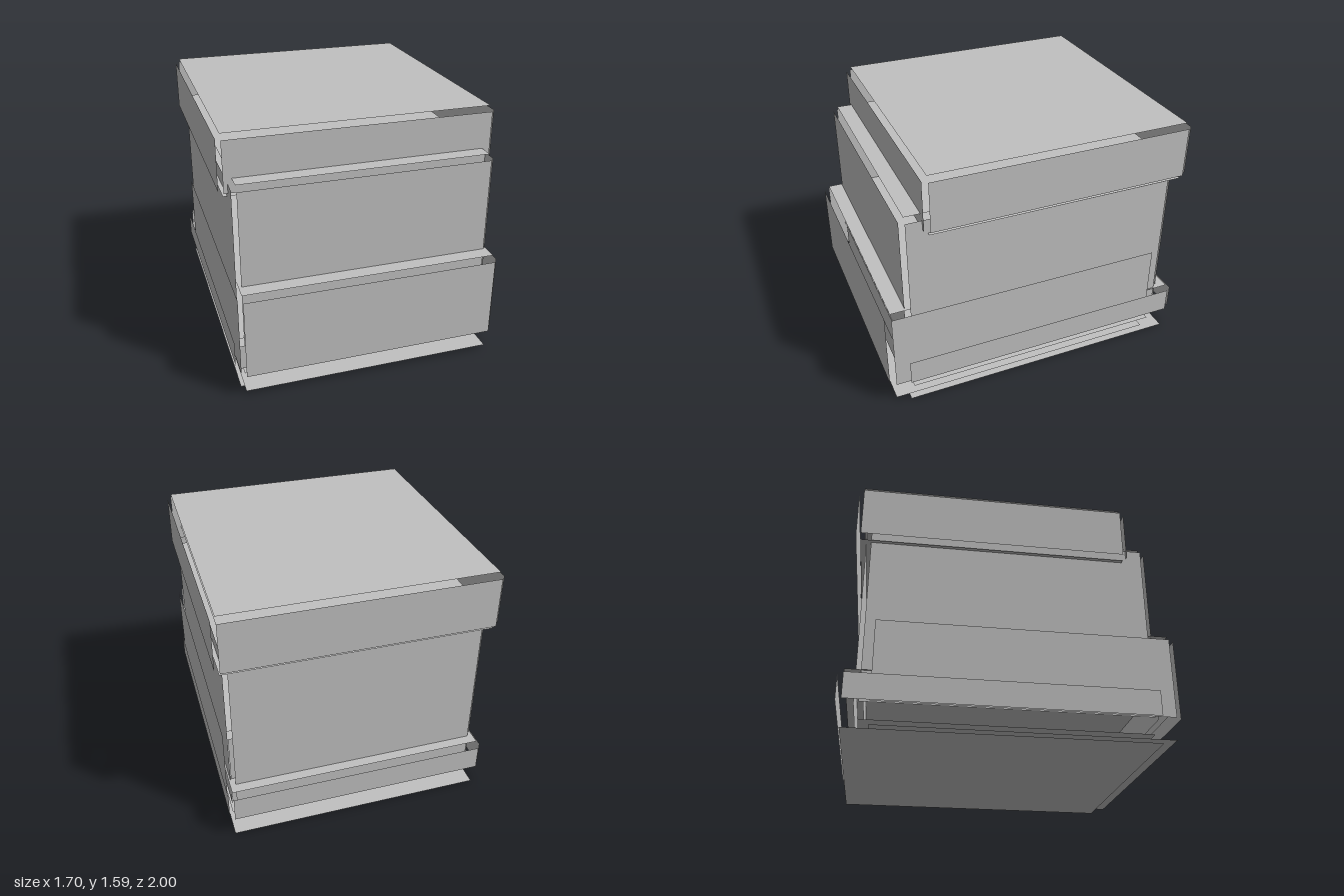
import * as THREE from 'three';

const grey = new THREE.MeshStandardMaterial({ color: 0xc0c0c0, side: THREE.DoubleSide });
grey.name = 'plain grey';

// Loose-panelled box: six flat panels pushed outward from the core box
// so that narrow gaps stay open along every edge.
function panelBox(name, { x, y: [y0, y1], z: [z0, z1], floor, ceiling, gapX = 0.025, gapZ = 0.03 }) {
  const group = new THREE.Group();
  group.name = name;
  const w = 2 * x, h = y1 - y0, d = z1 - z0;
  const cy = (y0 + y1) / 2, cz = (z0 + z1) / 2;

  const panel = (label, width, height, position, rx, ry) => {
    const mesh = new THREE.Mesh(new THREE.PlaneGeometry(width, height), grey);
    mesh.name = label;
    mesh.position.set(...position);
    mesh.rotation.set(rx, ry, 0);
    group.add(mesh);
  };

  // upright panels
  panel('frontPanel', w, h, [0, cy, z1 + gapZ], 0, 0);
  panel('backPanel', w, h, [0, cy, z0 - gapZ], 0, Math.PI);
  panel('leftPanel', d, h, [x + gapX, cy, cz], 0, Math.PI / 2);
  panel('rightPanel', d, h, [-x - gapX, cy, cz], 0, -Math.PI / 2);
  // level panels
  panel('topPanel', w, d, [0, ceiling, cz], -Math.PI / 2, 0);
  panel('bottomPanel', w, d, [0, floor, cz], Math.PI / 2, 0);
  return group;
}

export function createModel() {
  const model = new THREE.Group();
  model.name = 'layeredPanelBox';
  model.add(
    // overhanging lid
    panelBox('lid', { x: 0.825, y: [1.24, 1.56], z: [-0.935, 0.71], floor: 1.21, ceiling: 1.59 }),
    // tall main body
    panelBox('body', { x: 0.775, y: [0.16, 1.3], z: [-0.87, 0.84], floor: 0.065, ceiling: 1.33 }),
    // medium sleeve set towards the front
    panelBox('frontSleeve', { x: 0.793, y: [0.16, 0.67], z: [-0.81, 0.965], floor: 0.03, ceiling: 0.7, gapZ: 0.035 }),
    // low tray set towards the back
    panelBox('baseTray', { x: 0.81, y: [0.16, 0.32], z: [-0.965, 0.875], floor: 0, ceiling: 0.35, gapZ: 0.035 })
  );
  return model;
}
